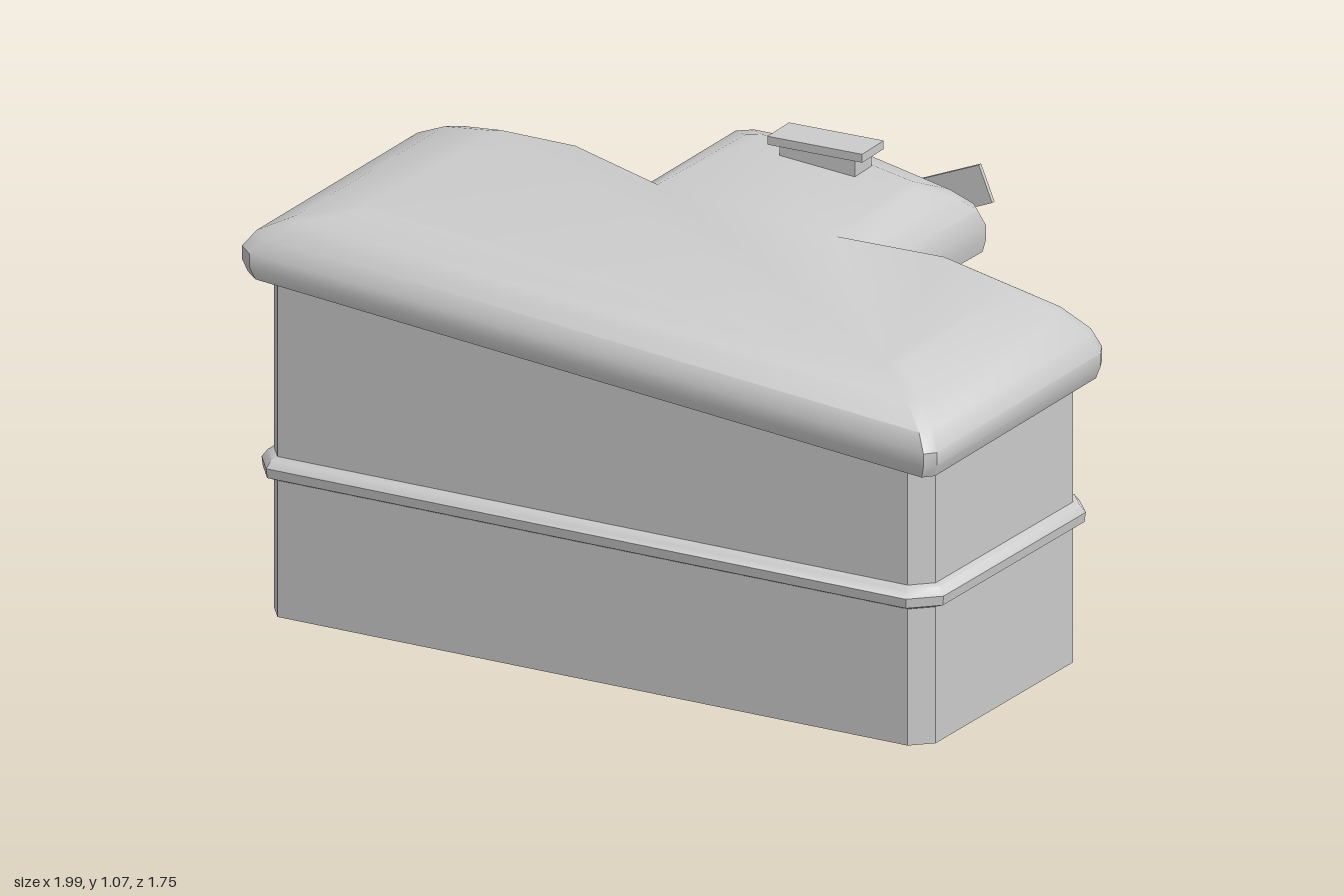
import * as THREE from 'three';
import { toCreasedNormals } from 'three/addons/utils/BufferGeometryUtils.js';

const material = new THREE.MeshStandardMaterial({ color: 0xcccccc });
const thinMaterial = new THREE.MeshStandardMaterial({ color: 0xcccccc, side: THREE.DoubleSide });

// T-shaped wall outline [x, z], counterclockwise seen from above, starting front left
const OUTLINE = [
  [-0.93, 0.77], [-0.89, 0.82], [0.9, 0.78], [0.95, 0.73], [0.94, 0.07], [0.9, 0.025],
  [0.62, 0], [0.3, 0.04], [0.3, -0.41], [0.25, -0.475], [-0.3, -0.475], [-0.35, -0.41],
  [-0.345, 0.05], [-0.64, 0], [-0.9, 0.03], [-0.945, 0.07],
];
// Roof rim and the matching edge of the flat roof top: [rimX, rimZ, topX, topZ]
const ROOF = [
  [-0.98, 0.84, -0.73, 0.67], [-0.94, 0.87, -0.71, 0.69], [0.97, 0.82, 0.76, 0.65],
  [0.99, 0.79, 0.78, 0.62], [0.97, -0.01, 0.75, 0.05], [0.95, -0.05, 0.73, 0.03],
  [0.62, -0.11, 0.52, -0.01], [0.34, -0.02, 0.25, 0.06], [0.34, -0.5, 0.24, -0.33],
  [0.31, -0.53, 0.21, -0.36], [-0.04, -0.6, -0.04, -0.4], [-0.36, -0.52, -0.22, -0.36],
  [-0.39, -0.48, -0.25, -0.33], [-0.37, 0, -0.25, 0.08], [-0.66, -0.08, -0.53, 0.01],
  [-0.96, -0.01, -0.72, 0.05], [-1, 0.03, -0.74, 0.07],
];
// Openings by wall index: x, y, width, height, tilt, framed
const OPENINGS = {
  5: [[0.77, 0.56, 0.12, 0.2, 0, false], [0.77, 0.25, 0.1, 0.17, 0.15, true]],
  6: [[0.47, 0.56, 0.1, 0.18, 0.25, true], [0.47, 0.25, 0.11, 0.16, 0, false]],
  9: [[0.14, 0.55, 0.1, 0.18, 0.32, true], [-0.17, 0.55, 0.1, 0.18, 0, true],
    [-0.03, 0.165, 0.4, 0.32, 0, false]],
  12: [[-0.53, 0.56, 0.1, 0.18, -0.17, true], [-0.53, 0.25, 0.11, 0.16, 0, false]],
  13: [[-0.76, 0.55, 0.1, 0.18, 0.04, true], [-0.76, 0.25, 0.1, 0.17, 0.3, true]],
};

const eaveY = (x) => 0.8 - 0.088 * x; // the whole roof leans down towards +x

function add(parent, name, geometry, mat = material) {
  const mesh = new THREE.Mesh(geometry, mat);
  mesh.name = name;
  parent.add(mesh);
  return mesh;
}

// Skin a stack of closed rings, optionally capping both ends
function loft(rings, capped, crease) {
  const n = rings[0].length;
  const index = [];
  for (let r = 0; r < rings.length - 1; r++) {
    for (let i = 0; i < n; i++) {
      const a = r * n + i, b = r * n + (i + 1) % n;
      index.push(a, b, b + n, a, b + n, a + n);
    }
  }
  if (capped) {
    const cap = (ring, base, flip) => {
      const flat = ring.map((p) => new THREE.Vector2(p.x, -p.z));
      for (const [a, b, c] of THREE.ShapeUtils.triangulateShape(flat, [])) {
        index.push(base + a, base + (flip ? c : b), base + (flip ? b : c));
      }
    };
    cap(rings[0], 0, true);
    cap(rings[rings.length - 1], (rings.length - 1) * n, false);
  }
  const geometry = new THREE.BufferGeometry().setFromPoints(rings.flat());
  geometry.setIndex(index);
  return toCreasedNormals(geometry, crease);
}

// Outline moved outwards by d with mitred corners
function offsetOutline(d, y) {
  const n = OUTLINE.length;
  return OUTLINE.map(([x, z], i) => {
    const [px, pz] = OUTLINE[(i + n - 1) % n], [qx, qz] = OUTLINE[(i + 1) % n];
    const a = new THREE.Vector2(-(z - pz), x - px).normalize();
    const b = new THREE.Vector2(-(qz - z), qx - x).normalize();
    const m = a.clone().add(b).multiplyScalar(d / (1 + a.dot(b)));
    return new THREE.Vector3(x + m.x, y, z + m.y);
  });
}

// Rectangle with clipped corners, tilted about its centre
function clippedRect(cx, cy, w, h, tilt, clip) {
  const a = w / 2, b = h / 2;
  const corners = clip
    ? [[a, clip - b], [a, b - clip], [a - clip, b], [clip - a, b], [-a, b - clip], [-a, clip - b], [clip - a, -b], [a - clip, -b]]
    : [[a, -b], [a, b], [-a, b], [-a, -b]];
  return corners.map(([x, y]) => new THREE.Vector2(x, y)
    .rotateAround(new THREE.Vector2(), tilt).add(new THREE.Vector2(cx, cy)));
}

function buildWall(i) {
  const [x0, z0] = OUTLINE[i], [x1, z1] = OUTLINE[(i + 1) % OUTLINE.length];
  const length = Math.hypot(x1 - x0, z1 - z0);
  const wall = new THREE.Group();
  wall.name = 'wall';
  wall.position.set(x0, 0, z0);
  wall.rotation.y = Math.atan2(z0 - z1, x1 - x0);
  const panel = new THREE.Shape([
    new THREE.Vector2(0, 0), new THREE.Vector2(length, 0),
    new THREE.Vector2(length, eaveY(x1) + 0.02), new THREE.Vector2(0, eaveY(x0) + 0.02),
  ]);
  for (const [x, y, w, h, tilt, framed] of OPENINGS[i] || []) {
    const u = (x - x0) / (x1 - x0) * length;
    const clip = framed ? 0.025 : 0;
    const hole = clippedRect(u, y, w, h, tilt, clip);
    panel.holes.push(new THREE.Path(hole));
    if (framed) {
      const frame = new THREE.Shape(clippedRect(u, y, w + 0.035, h + 0.035, tilt, 0.035));
      frame.holes.push(new THREE.Path(hole));
      add(wall, 'windowFrame', new THREE.ExtrudeGeometry(frame, { depth: 0.035, bevelEnabled: false }))
        .position.z = -0.02;
    }
  }
  add(wall, 'wallPanel', new THREE.ShapeGeometry(panel), thinMaterial);
  return wall;
}

export function createModel() {
  const house = new THREE.Group();
  house.name = 'crookedHouse';

  // Walls and floor
  OUTLINE.forEach((_, i) => house.add(buildWall(i)));
  const floorShape = new THREE.Shape(OUTLINE.map(([x, z]) => new THREE.Vector2(x, -z)));
  const floor = add(house, 'floor', new THREE.ShapeGeometry(floorShape), thinMaterial);
  floor.rotation.x = -Math.PI / 2;
  floor.position.y = 0.003;

  // Moulding between the storeys: [overhang, y]
  const bandProfile = [[-0.005, 0.355], [0.027, 0.37], [0.03, 0.395], [0.015, 0.415], [-0.005, 0.422]];
  add(house, 'storeyBand', loft(bandProfile.map(([d, y]) => offsetOutline(d, y)), false, 0.7));

  // Puffy roof: [blend from rim to flat top, height above eave]
  const roofProfile = [[0.2, 0], [0.05, 0.008], [0, 0.04], [0, 0.075], [0.12, 0.118], [0.45, 0.163], [1, 0.2]];
  const roofRings = roofProfile.map(([t, h]) => ROOF.map(([ox, oz, tx, tz]) => {
    const x = ox + (tx - ox) * t;
    return new THREE.Vector3(x, eaveY(x) + h, oz + (tz - oz) * t);
  }));
  add(house, 'roof', loft(roofRings, true, 0.6));

  // Chimney on the rear wing
  const chimney = new THREE.Group();
  chimney.name = 'chimney';
  chimney.position.set(-0.015, 0, -0.325);
  chimney.rotation.y = 0.05;
  add(chimney, 'chimneyStack', new THREE.BoxGeometry(0.21, 0.08, 0.085)).position.y = 1.0;
  add(chimney, 'chimneyCap', new THREE.BoxGeometry(0.265, 0.022, 0.11)).position.y = 1.049;
  house.add(chimney);

  // Lintel above the open doorway
  add(house, 'doorLintel', new THREE.BoxGeometry(0.44, 0.04, 0.03)).position.set(-0.03, 0.335, -0.475);

  // Crooked blank board over the entrance
  const board = add(house, 'signBoard', new THREE.BoxGeometry(0.66, 0.1, 0.012));
  board.position.set(-0.035, 0.782, -0.6);
  board.rotation.set(0, 0.05, 0.385);

  // Tilted slab lying in front of the door
  const step = add(house, 'doorSlab', new THREE.BoxGeometry(0.39, 0.027, 0.355));
  step.position.set(-0.04, 0.034, -0.695);
  step.rotation.set(0.09, 0.05, 0);

  return house;
}
